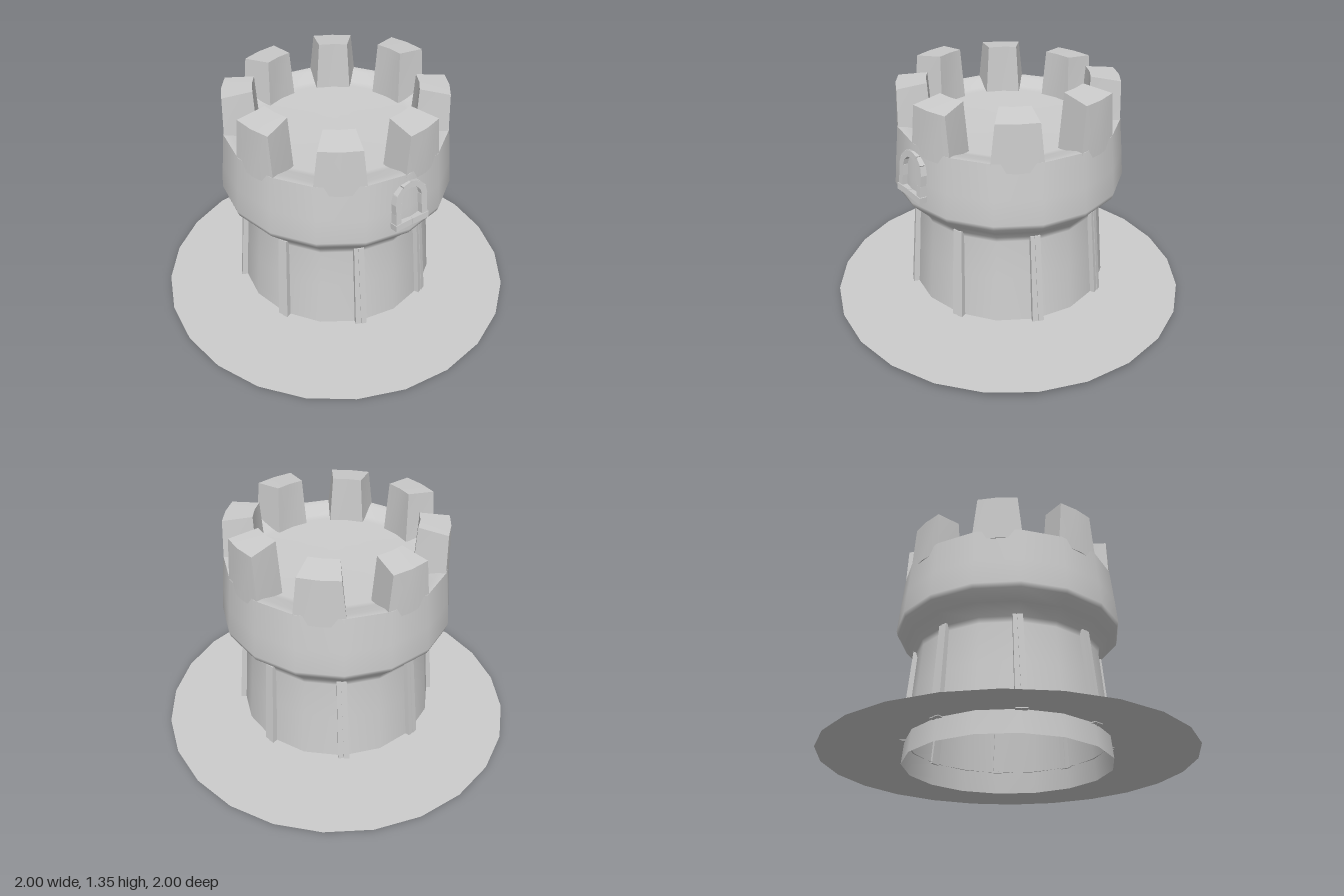
import * as THREE from 'three';

const stone = new THREE.MeshStandardMaterial({ color: 0xcccccc, side: THREE.DoubleSide });
stone.name = 'stone grey';

const SIDES = 16;
const DEG = Math.PI / 180;

function add(parent, geometry, name) {
  const mesh = new THREE.Mesh(geometry, stone);
  mesh.name = name;
  parent.add(mesh);
  return mesh;
}

function lathe(points, sides) {
  return new THREE.LatheGeometry(points.map(([r, y]) => new THREE.Vector2(r, y)), sides);
}

// Tapered block bent around the tower axis
function merlonGeometry(center, top) {
  const geo = new THREE.BoxGeometry(2, 1, 1, 2, 1, 1);
  const pos = geo.attributes.position;
  const lerp = THREE.MathUtils.lerp;
  for (let i = 0; i < pos.count; i++) {
    const t = pos.getY(i) + 0.5;
    const outer = pos.getZ(i) > 0;
    const angle = (center - pos.getX(i) * lerp(13, 10.5, t)) * DEG;
    const r = outer ? lerp(0.598, 0.588, t) : lerp(0.42, 0.43, t);
    const y = lerp(1.04, top + (outer ? -0.012 : 0.008), t);
    pos.setXYZ(i, r * Math.cos(angle), y, r * Math.sin(angle));
  }
  geo.computeVertexNormals();
  return geo;
}

// Arched stone window frame, base at local y = 0
function windowFrame() {
  const frame = new THREE.Group();
  frame.name = 'windowFrame';
  const block = (w, h, x, y, turn, name, depth = 0.045) => {
    const mesh = add(frame, new THREE.BoxGeometry(w, h, depth), name);
    mesh.position.set(x, y, 0);
    mesh.rotation.z = turn;
  };
  block(0.105, 0.034, -0.053, 0.015, 0.02, 'windowSill', 0.055);
  block(0.105, 0.034, 0.053, 0.013, -0.03, 'windowSill', 0.055);
  for (const s of [-1, 1]) {
    block(0.034, 0.058, s * 0.083, 0.058, s * 0.04, 'windowJamb');
    block(0.036, 0.058, s * 0.081, 0.116, s * -0.03, 'windowJamb');
  }
  const stones = 6;
  for (let i = 0; i < stones; i++) {
    const a = ((i + 0.5) / stones) * Math.PI;
    block(0.034, 0.048, Math.cos(a) * 0.082, 0.143 + Math.sin(a) * 0.082, a, 'windowArchStone');
  }
  frame.position.set(0, 0.81, 0.622);
  frame.rotation.x = -0.12;
  return frame;
}

// Worn timber rib made from two slightly skewed strips
function rib(angle) {
  const group = new THREE.Group();
  group.name = 'wallRib';
  const lean = -Math.atan(0.045 / 0.51);
  for (const s of [-1, 1]) {
    const strip = add(group, new THREE.BoxGeometry(0.03, 0.52, s > 0 ? 0.044 : 0.036), 'ribStrip');
    strip.position.set(s * 0.013, 0.375, 0.53);
    strip.rotation.set(lean, 0, s > 0 ? 0.03 : 0.012);
  }
  group.rotation.y = angle;
  return group;
}

export function createModel() {
  const model = new THREE.Group();
  model.name = 'castleTower';

  // Ground skirt, shaded as level ground
  const skirt = lathe([[1, 0.04], [0.67, 0.122], [0.54, 0.122]], 24);
  const normals = skirt.attributes.normal;
  for (let i = 0; i < normals.count; i++) normals.setXYZ(i, 0, 1, 0);
  add(model, skirt, 'groundSkirt');

  // Open-bottomed shaft flaring into the battlement drum
  add(model, lathe([
    [0.562, 0], [0.55, 0.12], [0.528, 0.38], [0.51, 0.6], [0.518, 0.63],
    [0.57, 0.685], [0.622, 0.738], [0.63, 0.765], [0.618, 0.9], [0.598, 1.09],
  ], SIDES), 'towerWall');

  // Parapet slope and roof floor
  add(model, lathe([[0.598, 1.09], [0.56, 1.087], [0.48, 1.06], [0.44, 1.052], [0, 1.048]], SIDES), 'towerFloor');

  // Battlements
  const tops = [1.34, 1.305, 1.31, 1.3, 1.325, 1.31, 1.3, 1.31];
  tops.forEach((top, i) => add(model, merlonGeometry(-11 + i * 45, top), 'merlon'));

  // Ribs around the shaft
  for (let i = 0; i < 8; i++) model.add(rib((22.5 + 45 * i) * DEG));

  model.add(windowFrame());
  return model;
}
